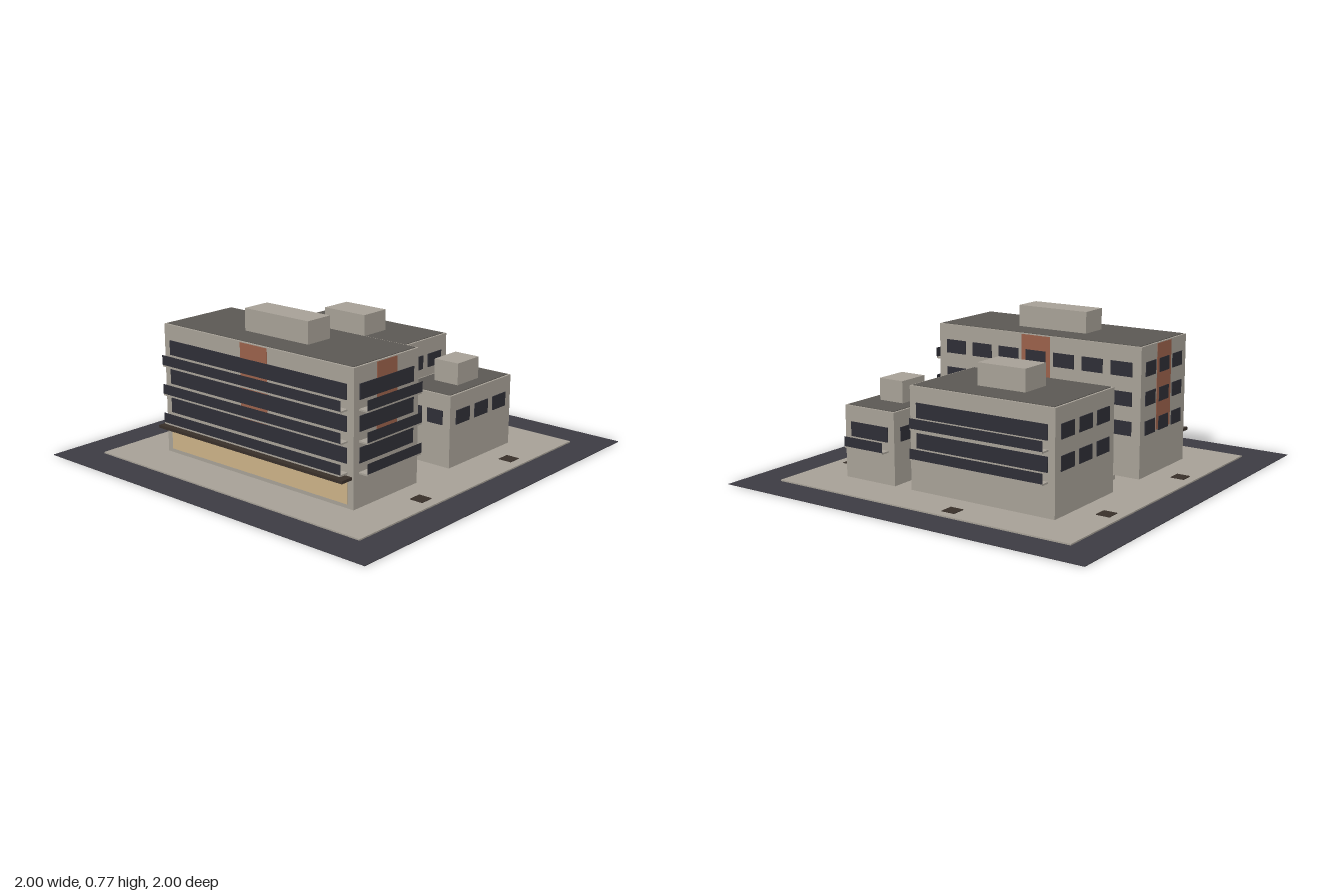
import * as THREE from 'three';

const mat = (name, color, extra = {}) => {
  const m = new THREE.MeshStandardMaterial({ color, ...extra });
  m.name = name;
  return m;
};

export function createModel() {
  const concrete = mat('concrete', 0xa6a096);
  const asphalt = mat('asphalt', 0x3c3b42);
  const roofing = mat('roofing', 0x5b5853);
  const glass = mat('dark glass', 0x2e2e36);
  const railing = mat('railing', 0x2e2e36, { side: THREE.DoubleSide });
  const brick = mat('brick', 0x99604a);
  const shop = mat('shop front', 0xcab186);
  const brown = mat('dark brown', 0x382f29);

  const root = new THREE.Group();
  root.name = 'officeBlock';

  // Box given by its centre in x and z and by its bottom and top in y
  const box = (parent, name, m, w, d, y0, y1, x = 0, z = 0) => {
    const mesh = new THREE.Mesh(new THREE.BoxGeometry(w, y1 - y0, d), m);
    mesh.name = name;
    mesh.position.set(x, (y0 + y1) / 2, z);
    parent.add(mesh);
    return mesh;
  };

  const GROUND = 0.01;
  const STOREY = 0.145;
  const SILL = 0.219; // first upper floor
  const WINDOW_H = 0.072;

  // Site
  box(root, 'road', asphalt, 2, 2, 0, 0.003);
  box(root, 'plaza', concrete, 1.65, 1.65, 0.003, GROUND);
  box(root, 'bench', concrete, 0.6, 0.06, GROUND, 0.033, -0.2, 0.06);
  const pits = [[-0.745, -0.4], [0.74, -0.4], [-0.15, -0.745], [0.25, 0], [-0.745, 0.3], [0.74, 0.3]];
  for (const [x, z] of pits) box(root, 'treePit', brown, 0.07, 0.07, GROUND, 0.013, x, z);

  // Facade details are laid out on a wall facing +z, then turned to their side
  const addWall = (building, turn, w, d, floors, { balcony, columns, strip, shopFront }) => {
    const wall = new THREE.Group();
    wall.name = 'facade';
    wall.rotation.y = turn;
    building.add(wall);
    const z = d / 2;
    const top = 0.655 - (3 - floors) * STOREY;
    if (strip) box(wall, 'brickStrip', brick, strip, 0.004, 0.225, top - 0.001, 0, z);
    for (let i = 0; i < floors; i++) {
      const y = SILL + i * STOREY;
      if (balcony) {
        box(wall, 'ribbonWindow', glass, w - 0.075, 0.009, y, y + WINDOW_H, 0, z);
        box(wall, 'balconySlab', concrete, w - 0.07, 0.05, y - 0.049, y - 0.041, 0, z + 0.025);
        const rail = new THREE.Mesh(new THREE.PlaneGeometry(w - 0.065, 0.049), railing);
        rail.name = 'balconyRail';
        rail.position.set(0, y - 0.0165, z + 0.05);
        wall.add(rail);
      } else {
        const step = (w - 0.05) / columns;
        for (let c = 0; c < columns; c++) {
          const x = (c - (columns - 1) / 2) * step;
          box(wall, 'window', glass, step * 0.72, 0.009, y, y + WINDOW_H - 0.002, x, z);
        }
      }
    }
    if (shopFront) {
      box(wall, 'shopFront', shop, w - 0.07, 0.009, 0.03, 0.15, 0, z);
      box(wall, 'canopy', brown, w - 0.02, 0.067, 0.148, 0.162, 0, z + 0.0335);
    }
  };

  // Building with roof, roof house and four facades
  const addBuilding = (name, x, z, w, d, floors, house, walls) => {
    const b = new THREE.Group();
    b.name = name;
    b.position.set(x, 0, z);
    root.add(b);
    const top = 0.655 - (3 - floors) * STOREY + 0.003;
    box(b, 'walls', concrete, w, d, GROUND, top);
    box(b, 'roof', roofing, w - 0.022, d - 0.022, top, top + 0.003);
    box(b, 'roofHouse', concrete, house[0], house[1], top, top + 0.112);
    walls.forEach((options, i) => {
      const [ww, dd] = i % 2 ? [d, w] : [w, d];
      addWall(b, i * Math.PI / 2, ww, dd, floors, options);
    });
  };

  // Walls in the order front, +x side, back, -x side
  addBuilding('frontBuilding', 0, 0.375, 1.2, 0.45, 3, [0.4, 0.15], [
    { balcony: true, strip: 0.17, shopFront: true },
    { balcony: true, strip: 0.14 },
    { columns: 7, strip: 0.17 },
    { columns: 3, strip: 0.14 },
  ]);
  addBuilding('rearBuilding', -0.2, -0.35, 0.8, 0.5, 2, [0.265, 0.17], [
    { columns: 5 }, { columns: 3 }, { balcony: true }, { columns: 3 },
  ]);
  addBuilding('annex', 0.45, -0.35, 0.3, 0.5, 1, [0.14, 0.17], [
    { columns: 2 }, { columns: 3 }, { balcony: true }, { columns: 3 },
  ]);

  return root;
}
